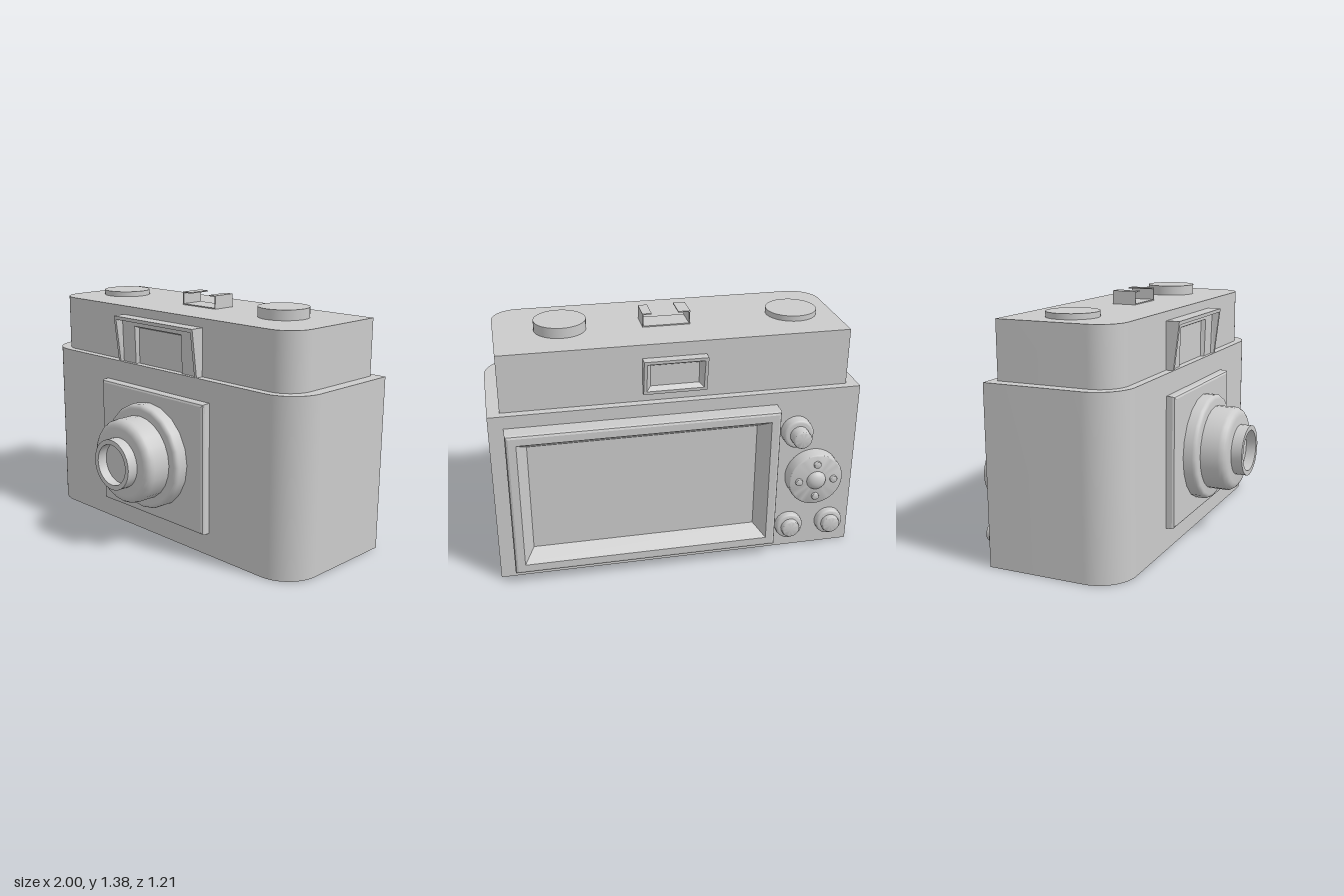
import * as THREE from 'three';
import { toCreasedNormals } from 'three/addons/utils/BufferGeometryUtils.js';

const material = new THREE.MeshStandardMaterial({ color: 0xcccccc, side: THREE.DoubleSide });

function add(parent, name, geometry, x = 0, y = 0, z = 0) {
  const mesh = new THREE.Mesh(geometry, material);
  mesh.name = name;
  mesh.position.set(x, y, z);
  parent.add(mesh);
  return mesh;
}

// Upright block whose two front corners are rounded
function roundedBlock(halfWidth, back, front, height, r) {
  const s = new THREE.Shape();
  s.moveTo(-halfWidth, -back);
  s.lineTo(-halfWidth, -front + r);
  s.absarc(-halfWidth + r, -front + r, r, Math.PI, Math.PI * 1.5, false);
  s.absarc(halfWidth - r, -front + r, r, Math.PI * 1.5, Math.PI * 2, false);
  s.lineTo(halfWidth, -back);
  s.closePath();
  const g = new THREE.ExtrudeGeometry(s, { depth: height, bevelEnabled: false, curveSegments: 10 });
  g.rotateX(-Math.PI / 2);
  return toCreasedNormals(g, 0.6);
}

// Loft through rectangles [x0, x1, y0, y1, zBottom, zTop], running from the
// back round the rim and into the recess; the last rectangle is capped
function rectLoft(rings) {
  const loops = rings.map(([x0, x1, y0, y1, zb, zt = zb]) =>
    [[x0, y0, zb], [x1, y0, zb], [x1, y1, zt], [x0, y1, zt]]);
  const p = [];
  const quad = (a, b, c, d) => p.push(...a, ...b, ...c, ...a, ...c, ...d);
  for (let i = 1; i < loops.length; i++) {
    for (let k = 0; k < 4; k++) {
      const n = (k + 1) % 4;
      quad(loops[i - 1][k], loops[i - 1][n], loops[i][n], loops[i][k]);
    }
  }
  quad(...loops[loops.length - 1]);
  const g = new THREE.BufferGeometry();
  g.setAttribute('position', new THREE.Float32BufferAttribute(p, 3));
  g.computeVertexNormals();
  return g;
}

// Turned part along +z from [radius, z] points
function turned(points, segments = 24) {
  const g = new THREE.LatheGeometry(points.map(([r, z]) => new THREE.Vector2(r, z)), segments);
  g.rotateX(Math.PI / 2);
  return toCreasedNormals(g, 0.65);
}

// Turned disc with a rounded front edge
function roundedDisc(r, z0, z1, bevel, segments) {
  const pts = [[r, z0]];
  for (let i = 0; i <= 4; i++) {
    const a = (i / 4) * Math.PI / 2;
    pts.push([r - bevel + bevel * Math.cos(a), z1 - bevel + bevel * Math.sin(a)]);
  }
  pts.push([0, z1]);
  return turned(pts, segments);
}

export function createModel() {
  const model = new THREE.Group();
  model.name = 'camera';

  // Housing
  add(model, 'body', roundedBlock(1, -0.475, 0.275, 0.985, 0.2));
  add(model, 'topHousing', roundedBlock(0.935, -0.43, 0.23, 0.315, 0.15), 0, 0.985, 0);

  // Top knobs
  add(model, 'rightKnob', new THREE.CylinderGeometry(0.14, 0.14, 0.03, 40), -0.7, 1.315, -0.12);
  add(model, 'leftKnob', new THREE.CylinderGeometry(0.14, 0.14, 0.056, 40), 0.58, 1.328, -0.12);

  // Accessory shoe: folded channel with two lips
  const shoe = new THREE.Shape();
  const t = 0.006;
  [[-0.115, 0], [0.145, 0], [0.145, 0.075], [0.095, 0.075], [0.095, 0.075 - t], [0.145 - t, 0.075 - t],
    [0.145 - t, t], [-0.115 + t, t], [-0.115 + t, 0.075 - t], [-0.05, 0.075 - t], [-0.05, 0.075], [-0.115, 0.075]]
    .forEach(([x, y], i) => (i ? shoe.lineTo(x, y) : shoe.moveTo(x, y)));
  add(model, 'accessoryShoe',
    new THREE.ExtrudeGeometry(shoe, { depth: 0.14, bevelEnabled: false }), 0, 1.3, -0.185);

  // Front viewfinder: sloping hood with a stepped recess
  add(model, 'frontViewfinder', rectLoft([
    [-0.32, 0.32, 0.985, 1.25, 0.2],
    [-0.32, 0.32, 0.985, 1.25, 0.273, 0.306],
    [-0.303, 0.303, 0.985, 1.23, 0.273, 0.304],
    [-0.295, 0.295, 0.985, 1.22, 0.255, 0.262],
    [-0.19, 0.19, 0.985, 1.2, 0.255, 0.262],
    [-0.18, 0.18, 0.985, 1.19, 0.236],
  ]));

  // Lens plate and barrel
  const b = 0.015;
  add(model, 'lensPlate', rectLoft([
    [-0.42, 0.42, 0.13, 0.865, 0.26],
    [-0.42, 0.42, 0.13, 0.865, 0.325 - b],
    [-0.42 + b / 3, 0.42 - b / 3, 0.13 + b / 3, 0.865 - b / 3, 0.325 - b / 3],
    [-0.42 + b, 0.42 - b, 0.13 + b, 0.865 - b, 0.325],
  ]));
  const lens = new THREE.Group();
  lens.name = 'lens';
  lens.position.y = 0.5;
  model.add(lens);
  add(lens, 'lensBase', roundedDisc(0.3, 0.31, 0.4, 0.025, 20));
  add(lens, 'lensBarrel', roundedDisc(0.237, 0.39, 0.545, 0.045, 24));
  add(lens, 'lensTube', turned([[0.142, 0.53], [0.142, 0.607], [0.115, 0.607], [0.115, 0.55], [0, 0.55]], 32));

  // Rear parts are built facing +z, then turned to the back
  const rear = new THREE.Group();
  rear.name = 'rearPanel';
  rear.rotation.y = Math.PI;
  model.add(rear);

  add(rear, 'rearViewfinder', rectLoft([
    [-0.19, 0.15, 1.03, 1.225, 0.4],
    [-0.19, 0.15, 1.03, 1.225, 0.455, 0.484],
    [-0.173, 0.133, 1.047, 1.208, 0.457, 0.482],
    [-0.15, 0.11, 1.07, 1.185, 0.435],
  ]));

  // Screen: bevelled frame sloping in to the display
  const inset = (d, z) => [-0.922 + d, 0.535 - d, 0.075 + d, 0.915 - d, z];
  add(rear, 'screen', rectLoft([
    inset(0, 0.46), inset(0, 0.555), inset(0.005, 0.566), inset(0.016, 0.571),
    inset(0.055, 0.571), inset(0.062, 0.56), inset(0.11, 0.485),
  ]));

  // Buttons: a rounded base with a cap
  [['upperButton', 0.65, 0.75, 0.085, 0.537, 0.606],
    ['lowerInnerButton', 0.64, 0.145, 0.078, 0.515, 0.545],
    ['lowerOuterButton', 0.88, 0.145, 0.078, 0.515, 0.545]].forEach(([name, x, y, r, z0, z1]) => {
    const button = new THREE.Group();
    button.name = name;
    button.position.set(x, y, 0);
    rear.add(button);
    add(button, 'buttonBase', roundedDisc(r, 0.465, z0, 0.016, 24));
    add(button, 'buttonCap', roundedDisc(0.052, z0 - 0.01, z1, 0.01, 20));
  });

  // Control dial with domed centre and four studs
  const dial = new THREE.Group();
  dial.name = 'controlDial';
  dial.position.set(0.76, 0.465, 0);
  rear.add(dial);
  add(dial, 'dialDisc', roundedDisc(0.155, 0.465, 0.556, 0.012, 32));
  const dome = new THREE.SphereGeometry(0.055, 20, 8, 0, Math.PI * 2, 0, Math.PI / 2);
  dome.rotateX(Math.PI / 2).scale(1, 1, 0.65);
  add(dial, 'dialDome', dome, 0, 0, 0.554);
  for (let i = 0; i < 4; i++) {
    const a = (i * Math.PI) / 2;
    add(dial, 'dialStud', roundedDisc(0.021, 0.55, 0.572, 0.006, 12), 0.1 * Math.cos(a), 0.1 * Math.sin(a), 0);
  }

  return model;
}
